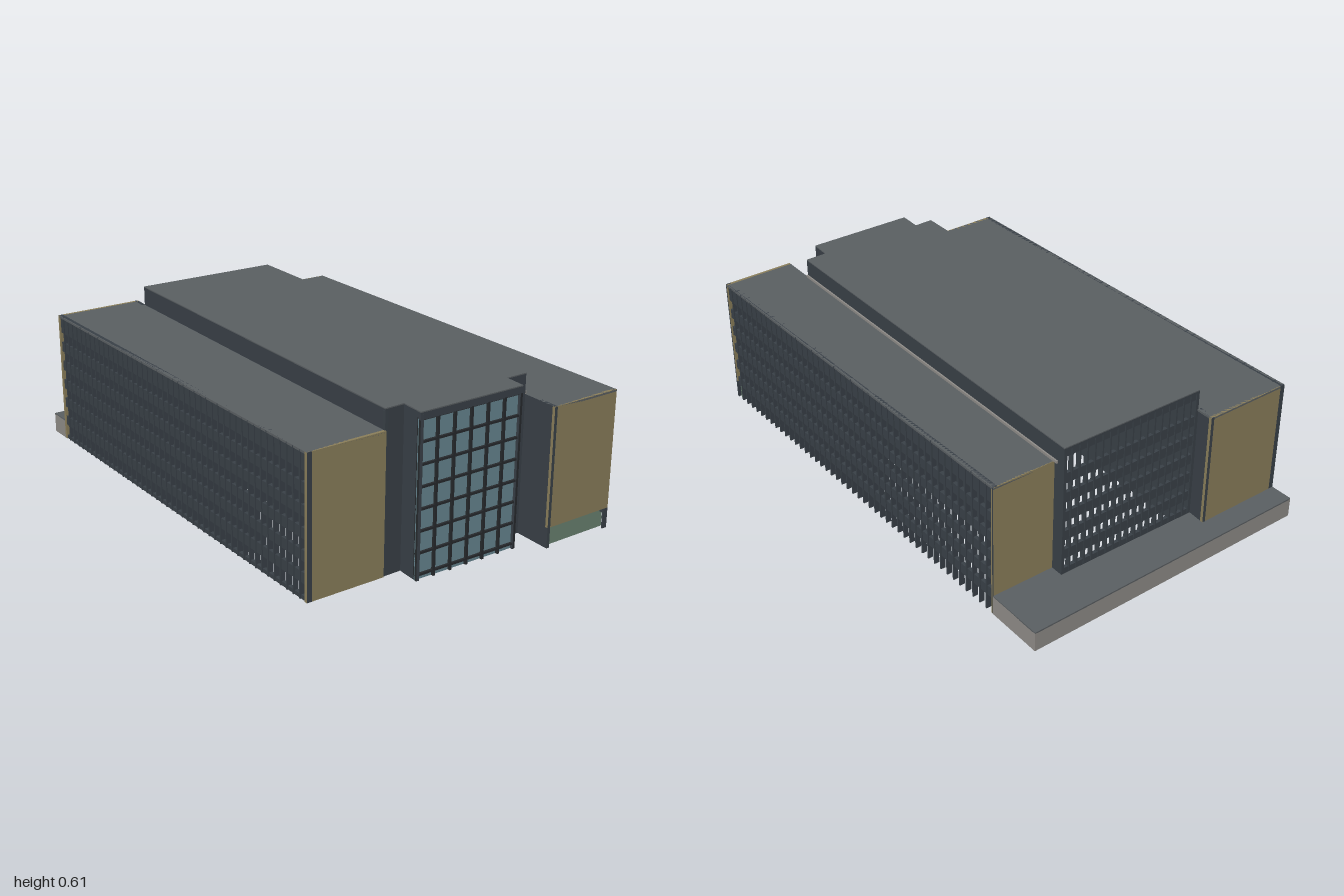
import * as THREE from 'three';
import { mergeGeometries } from 'three/addons/utils/BufferGeometryUtils.js';

const mat = (name, color, side = THREE.FrontSide) => {
  const m = new THREE.MeshStandardMaterial({ side });
  m.name = name;
  m.color.set(color);
  return m;
};

export function createModel() {
  const root = new THREE.Group();
  root.name = 'officeBuilding';
  const M = {
    roof: mat('roofGrey', 0x5a5f62),
    slate: mat('slateCladding', 0x394047),
    tan: mat('tanPanel', 0x8a7e5a),
    glass: mat('blueGlass', 0x66858f, THREE.DoubleSide),
    frame: mat('darkFrame', 0x26292c),
    green: mat('greenGlass', 0x698170, THREE.DoubleSide),
    stone: mat('paleStone', 0x8e8b87),
  };
  const add = (name, geo, m) => {
    const mesh = new THREE.Mesh(geo, m);
    mesh.name = name;
    root.add(mesh);
  };

  // Box along the plan line p -> q, set inward by "inset", occupying t0..t1 of its length
  const bar = (p, q, y0, y1, t = 0.012, inset = 0, t0 = 0, t1 = 1) => {
    const dx = q[0] - p[0], dz = q[1] - p[1], len = Math.hypot(dx, dz);
    const off = inset + t / 2, mid = (t0 + t1) / 2;
    const g = new THREE.BoxGeometry(len * (t1 - t0), y1 - y0, t);
    g.rotateY(-Math.atan2(dz, dx));
    return g.translate(p[0] + dx * mid - dz / len * off, (y0 + y1) / 2, p[1] + dz * mid + dx / len * off);
  };
  const wall = (name, p, q, y0, y1, m, t) => add(name, bar(p, q, y0, y1, t), m);

  // Flat slab over a plan outline of [x, z] points
  const slab = (name, pts, top, depth, m) => {
    const g = new THREE.ExtrudeGeometry(
      new THREE.Shape(pts.map(([x, z]) => new THREE.Vector2(x, z))), { depth, bevelEnabled: false });
    add(name, g.rotateX(Math.PI / 2).translate(0, top, 0), m);
  };

  // Open window wall: floor bands and closely spaced fins
  const windowWall = (name, p, q, top, bays, sill) => {
    const bands = [bar(p, q, top - 0.03, top, 0.014, 0.004)];
    if (sill) bands.push(bar(p, q, 0, sill, 0.014, 0.004));
    for (let y = 0.08; y < top - 0.04; y += 0.08) bands.push(bar(p, q, y - 0.02, y + 0.02, 0.014, 0.004));
    const fins = [];
    const w = 0.006 / Math.hypot(q[0] - p[0], q[1] - p[1]);
    for (let i = 0; i <= bays; i++) {
      const c = w / 2 + (1 - w) * i / bays;
      fins.push(bar(p, q, 0, top, 0.02, 0, c - w / 2, c + w / 2));
    }
    add(name + 'Bands', mergeGeometries(bands), M.slate);
    add(name + 'Fins', mergeGeometries(fins), M.slate);
  };

  // Plan corners, back to front
  const L = { bl: [-0.655, -0.845], br: [-0.295, -0.862], fr: [-0.245, 0.872], fl: [-0.56, 0.89] };
  const C = [[-0.297, -0.79], [0.3, -0.81], [0.355, 0.845], [0.267, 0.85],
    [0.267, 0.935], [-0.17, 0.955], [-0.17, 0.862], [-0.248, 0.868]];
  const R = { bl: [0.302, -0.76], br: [0.555, -0.77], fr: [0.656, 0.977], fl: [0.36, 0.996] };

  // Right-hand wing of the plan (-x)
  const H = 0.53;
  windowWall('rightWingSide', L.fl, L.bl, H, 46, 0.015);
  wall('rightWingFront', L.fr, L.fl, 0, H, M.tan);
  wall('rightWingBack', L.bl, L.br, 0, H, M.tan);
  wall('rightWingReturn', L.br, C[0], 0, H, M.slate);
  slab('rightWingRoof', [L.bl, L.br, L.fr, L.fl], H, 0.008, M.roof);

  // Left wing (+x), its front lifted over a glazed ground floor
  windowWall('leftWingSide', R.br, R.fr, H, 46, 0);
  wall('leftWingFront', R.fr, R.fl, 0.078, H, M.tan);
  wall('leftWingBack', R.bl, R.br, 0, H, M.tan);
  wall('leftWingReturn', R.fl, C[2], 0, H, M.slate);
  add('leftWingGroundGlass', bar(R.fr, R.fl, 0, 0.078, 0.006, 0.02, 0.02, 0.97), M.green);
  slab('leftWingRoof', [R.bl, R.br, R.fr, R.fl], H, 0.008, M.roof);

  // Central hall
  const T = 0.608;
  windowWall('hallBack', C[0], C[1], T - 0.01, 18, 0.015);
  for (const i of [1, 2, 3, 5, 6, 7])
    wall('hallWall', C[i], C[(i + 1) % 8], 0, T - 0.01, M.slate);
  slab('hallRoof', C, T, 0.004, M.roof);
  slab('hallRoofEdge', C, T - 0.004, 0.008, M.slate);
  // pale flashing where the hall rises above the wing
  add('roofFlashing', bar(C[1], C[2], H, H + 0.01, 0.006, -0.006, 0.02, 1), M.stone);

  // Glazed hall front: six columns by seven rows
  const [gp, gq] = [C[4], C[5]];
  add('hallGlass', bar(gp, gq, 0, 0.58, 0.004, 0.01), M.glass);
  wall('hallFrontHeader', gp, gq, 0.578, T - 0.01, M.slate);
  const bars = [];
  for (let i = 0; i <= 6; i++) {
    const c = 0.01 + 0.98 * i / 6;
    bars.push(bar(gp, gq, 0, 0.58, 0.018, 0, c - 0.01, c + 0.01));
  }
  for (let j = 0; j <= 7; j++) {
    const y = 0.02 + j * 0.08;
    bars.push(bar(gp, gq, Math.max(0, y - 0.004), y + 0.004, 0.016, 0.001));
  }
  add('hallMullions', mergeGeometries(bars), M.frame);

  // Rear terrace, hollow underneath
  const P = [[-0.66, -0.935], [0.547, -1], [0.556, -0.77], R.bl, C[1], C[0], L.br, L.bl];
  P.forEach((p, i) => wall('terraceWall', p, P[(i + 1) % P.length], 0, 0.076, M.stone, 0.008));
  slab('terraceTop', P, 0.08, 0.006, M.roof);

  return root;
}
